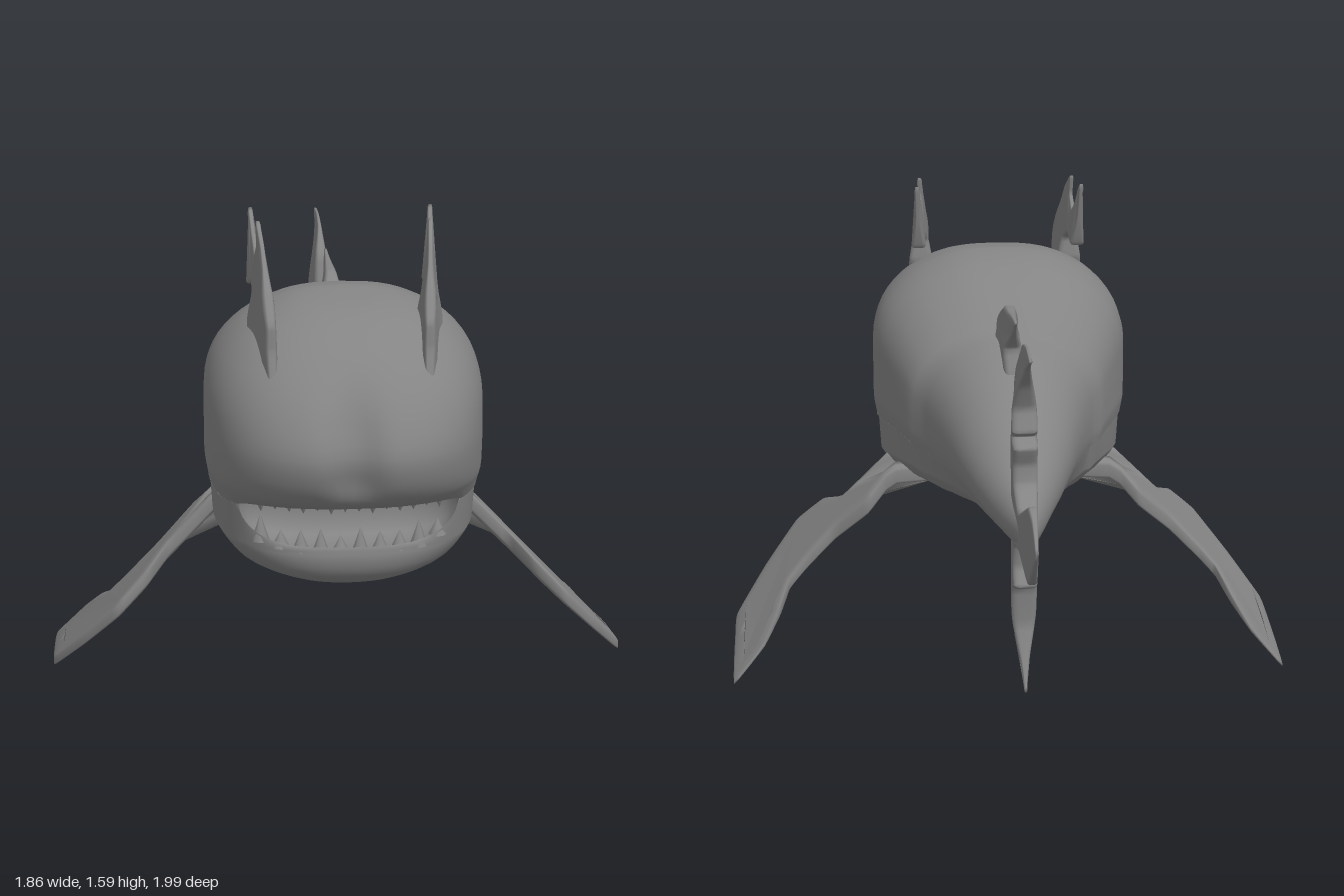
import * as THREE from 'three';
import { mergeVertices } from 'three/addons/utils/BufferGeometryUtils.js';

const material = new THREE.MeshStandardMaterial({ color: 0x848484, side: THREE.DoubleSide });
const mix = THREE.MathUtils.lerp;
const smooth = THREE.MathUtils.smoothstep;
const BACK = 0.45; // z where the head meets the rear body
const POWER = 0.8; // roundness of the face in plan
const CORNER = 0.755; // height of the mouth corners
const BELLY = 0.472, HEIGHT = 0.888; // lowest point and height of the head

function addMesh(parent, name, geometry) {
  const mesh = new THREE.Mesh(geometry, material);
  mesh.name = name;
  parent.add(mesh);
  return mesh;
}

// Smooth rows of (height, forward reach, half width)
function sampleRows(points, count) {
  const curve = new THREE.CatmullRomCurve3(points.map(p => new THREE.Vector3(...p)));
  return curve.getPoints(count).map(p => ({ y: p.x, reach: p.y, w: Math.max(0, p.z) }));
}

// Depth of the face at x for a row
const faceZ = (x, reach, w) =>
  BACK + (reach - BACK) * Math.pow(Math.max(0, 1 - Math.pow(Math.abs(x) / w, 2 / POWER)), POWER / 2);

// How far the mouth is open at x: 1 in the middle, 0 at the corners
const opening = x => Math.sqrt(Math.max(0, 1 - Math.pow(x / 0.335, 4)));

// Body: rows run from crown to belly, folding into the mouth on the way;
// columns run from the tail along one side, across the face and back
function bodyGeometry() {
  const upper = sampleRows([
    [1.36, 0.46, 0], [1.355, 0.5, 0.1], [1.33, 0.64, 0.2], [1.27, 0.77, 0.31], [1.18, 0.88, 0.39],
    [1.08, 0.96, 0.425], [0.97, 1.005, 0.43], [0.88, 0.985, 0.43], [0.82, 0.94, 0.43], [0.785, 0.89, 0.425]], 30);
  const mouth = sampleRows([
    [0.785, 0.89, 0.42], [0.8, 0.8, 0.42], [0.79, 0.66, 0.42], [0.7, 0.63, 0.42],
    [0.62, 0.66, 0.42], [0.61, 0.78, 0.42], [0.64, 0.83, 0.415]], 18);
  const lower = sampleRows([
    [0.64, 0.83, 0.415], [0.6, 0.835, 0.39], [0.55, 0.82, 0.345],
    [0.505, 0.77, 0.25], [0.48, 0.7, 0.12], [BELLY, 0.62, 0]], 16);
  mouth.forEach(row => { row.mouth = true; });
  const rows = [...upper.slice(0, -1), ...mouth, ...lower.slice(1)];

  // Rear stations: z, top, bottom, half width
  const stations = [
    [0.38, 1.352, 0.525, 0.427], [0.3, 1.328, 0.545, 0.408], [0.2, 1.28, 0.568, 0.372], [0.12, 1.22, 0.578, 0.336],
    [0.07, 1.175, 0.583, 0.315], [0.05, 1.16, 0.586, 0.293], [0, 1.15, 0.59, 0.275], [-0.1, 1.12, 0.61, 0.24],
    [-0.2, 1.07, 0.63, 0.208], [-0.3, 1.0, 0.645, 0.175], [-0.4, 0.93, 0.653, 0.138], [-0.5, 0.865, 0.658, 0.098],
    [-0.6, 0.82, 0.665, 0.064], [-0.7, 0.79, 0.69, 0.034], [-0.8, 0.77, 0.72, 0]];
  const steps = 64;
  const positions = [], index = [];
  for (const row of rows) {
    const sideY = row.mouth ? CORNER : row.y;
    const level = THREE.MathUtils.clamp((sideY - BELLY) / HEIGHT, 0, 1);
    const oval = Math.sqrt(1 - (2 * level - 1) ** 2);
    // The boxy head section becomes oval towards the tail
    const rear = side => stations.map(([z, top, bottom, w]) =>
      [side * w * mix(oval, row.w / 0.43, smooth(z, -0.35, 0.3)), mix(bottom, top, level), z]);
    const front = [];
    for (let i = 0; i <= steps; i++) {
      const a = (i / steps - 0.5) * Math.PI;
      const x = row.w * Math.sign(a) * Math.pow(Math.abs(Math.sin(a)), POWER);
      const open = row.mouth ? opening(x) : 1;
      const reach = row.mouth ? mix(0.86, row.reach, open) : row.reach;
      const rise = 0.033 * (1 - smooth(reach, 0.45, 0.7));
      let z = BACK + (reach - BACK) * Math.pow(Math.max(0, Math.cos(a)), POWER);
      let y = mix(sideY, row.y, open);
      // Belly lifts behind the chin
      y += (0.033 * (1 - smooth(z, 0.45, 0.68)) - rise * 0.1) * (1 - level);
      // Crease down the middle of the snout
      z -= 0.045 * Math.exp(-((x / 0.07) ** 2)) * smooth(y, 0.78, 0.9) * (1 - smooth(y, 1.0, 1.25));
      front.push([x, y, z]);
    }
    positions.push(...[...rear(-1).reverse(), ...front, ...rear(1)].flat());
  }
  const columns = steps + 1 + stations.length * 2;
  for (let j = 0; j < rows.length - 1; j++) {
    for (let i = 0; i < columns - 1; i++) {
      const a = j * columns + i, b = a + columns;
      index.push(a, b, b + 1, a, b + 1, a + 1);
    }
  }
  const geometry = new THREE.BufferGeometry();
  geometry.setAttribute('position', new THREE.Float32BufferAttribute(positions, 3));
  geometry.setIndex(index);
  const welded = mergeVertices(geometry, 1e-4);
  welded.computeVertexNormals();
  return welded;
}

// Fin: a soft-edged slab cut from an outline, then placed by a rule (a, b, c) => [x, y, z]
function finGeometry(outline, bevel, place) {
  const curve = new THREE.CatmullRomCurve3(
    outline.map(([a, b]) => new THREE.Vector3(a, b, 0)), true, 'catmullrom', 0.16);
  const points = curve.getPoints(outline.length * 4).slice(0, -1).map(p => new THREE.Vector2(p.x, p.y));
  const geometry = new THREE.ExtrudeGeometry(new THREE.Shape(points), {
    depth: 1, bevelThickness: 0.5, bevelSize: bevel, bevelOffset: -bevel, bevelSegments: 3 });
  geometry.deleteAttribute('uv');
  geometry.deleteAttribute('normal');
  const position = geometry.attributes.position;
  for (let i = 0; i < position.count; i++) {
    // c runs from -1 to 1 through the slab
    position.setXYZ(i, ...place(position.getX(i), position.getY(i), position.getZ(i) - 0.5));
  }
  const welded = mergeVertices(geometry, 1e-5);
  welded.computeVertexNormals();
  return welded;
}

export function createModel() {
  const model = new THREE.Group();
  model.name = 'fish';
  addMesh(model, 'body', bodyGeometry());

  // Back fin
  const dorsal = [[0.1, 1.13], [0.08, 1.19], [0.04, 1.25], [-0.02, 1.28], [-0.12, 1.283], [-0.27, 1.29],
    [-0.19, 1.22], [-0.14, 1.165], [-0.17, 1.06], [0, 1.08]];
  addMesh(model, 'dorsalFin', finGeometry(dorsal, 0.012, (z, y, c) => {
    const along = smooth(z, -0.27, 0) * (1 - 0.7 * smooth(z, 0.03, 0.11));
    return [-c * (0.006 + 0.048 * along * (1 - 0.75 * smooth(y, 1.15, 1.29))), y, z];
  }));

  // Tail with ragged upper and lower lobes and a diamond tip
  const tail = [
    [-0.44, 0.9], [-0.45, 1.09], [-0.48, 1.21], [-0.555, 1.3], [-0.66, 1.32], [-0.785, 1.31], [-0.69, 1.26],
    [-0.62, 1.185], [-0.58, 1.1], [-0.6, 1.03], [-0.575, 1.01], [-0.635, 0.99], [-0.61, 0.93], [-0.62, 0.87],
    [-0.7, 0.81], [-0.85, 0.88], [-0.92, 0.86], [-1.0, 0.78], [-0.85, 0.63], [-0.715, 0.68], [-0.62, 0.67],
    [-0.61, 0.595], [-0.64, 0.54], [-0.59, 0.515], [-0.58, 0.39], [-0.61, 0.295], [-0.65, 0.19], [-0.53, 0.26],
    [-0.46, 0.38], [-0.37, 0.46], [-0.415, 0.58], [-0.44, 0.64]];
  addMesh(model, 'tailFin', finGeometry(tail, 0.012, (z, y, c) => {
    const lobe = 1 - smooth(Math.abs(y - 0.76), 0.3, 0.58);
    const along = smooth(z, -1.05, -0.5) * (1 - 0.8 * smooth(z, -0.52, -0.42));
    return [-c * (0.005 + 0.037 * lobe * along), y, z];
  }));

  const horn = [[0.84, 1.12], [0.805, 1.25], [0.8, 1.33], [0.73, 1.42], [0.63, 1.53], [0.54, 1.585], [0.55, 1.52],
    [0.51, 1.475], [0.45, 1.52], [0.38, 1.59], [0.41, 1.45], [0.44, 1.365], [0.52, 1.39], [0.565, 1.36],
    [0.56, 1.29], [0.6, 1.2], [0.7, 1.12]];
  const flipper = [[0.2, 0.24], [0.4, 0.21], [0.465, 0.18], [0.58, 0.23], [0.68, 0.22], [0.735, 0.195], [0.77, 0.08],
    [0.825, -0.03], [0.93, -0.075], [0.93, 0.19], [0.925, 0.33], [0.825, 0.46], [0.71, 0.55], [0.61, 0.5],
    [0.545, 0.385], [0.43, 0.37], [0.2, 0.34]];
  for (const side of [-1, 1]) {
    const label = side > 0 ? 'left' : 'right';
    // Forked horn above each eye, rooted in the brow
    addMesh(model, label + 'Horn', finGeometry(horn, 0.014, (z, y, c) => {
      const root = (1 - smooth(y, 1.25, 1.5)) * (1 - 0.8 * smooth(z, 0.68, 0.82));
      const x = 0.235 + 0.04 * (0.8 - z) / 0.4;
      return [side * x - c * (0.008 + 0.034 * root), y, z];
    }));
    // Side flipper sloping down to the ground, level where it enters the body
    addMesh(model, label + 'Flipper', finGeometry(flipper, 0.035, (x, z, c) => {
      const half = 0.036 - 0.014 * smooth(x, 0.45, 0.93) - 0.014 * (1 - smooth(z, -0.07, 0.15));
      const y = 0.617 - 1.03 * Math.max(0, x - 0.38) + 0.17 * (z - 0.18);
      return [side * x, y - side * c * half, z];
    }));
  }

  // Pointed teeth along both lips
  const teeth = new THREE.Group();
  teeth.name = 'teeth';
  model.add(teeth);
  function toothRow(name, count, lipY, reach, height, radius, up) {
    for (let i = 0; i < count; i++) {
      const x = mix(-0.27, 0.27, i / (count - 1));
      const open = opening(x);
      const size = height * (0.8 + 0.2 * Math.cos(i * 2.4));
      const tooth = addMesh(teeth, name, new THREE.ConeGeometry(radius, size, 8));
      tooth.position.set(x, mix(CORNER, lipY, open) + up * size * 0.3, faceZ(x, mix(0.86, reach, open), 0.42) - 0.025);
      if (up < 0) tooth.rotation.x = Math.PI;
    }
  }
  toothRow('lowerTooth', 10, 0.63, 0.83, 0.085, 0.028, 1);
  toothRow('upperTooth', 14, 0.79, 0.89, 0.04, 0.018, -1);
  return model;
}
